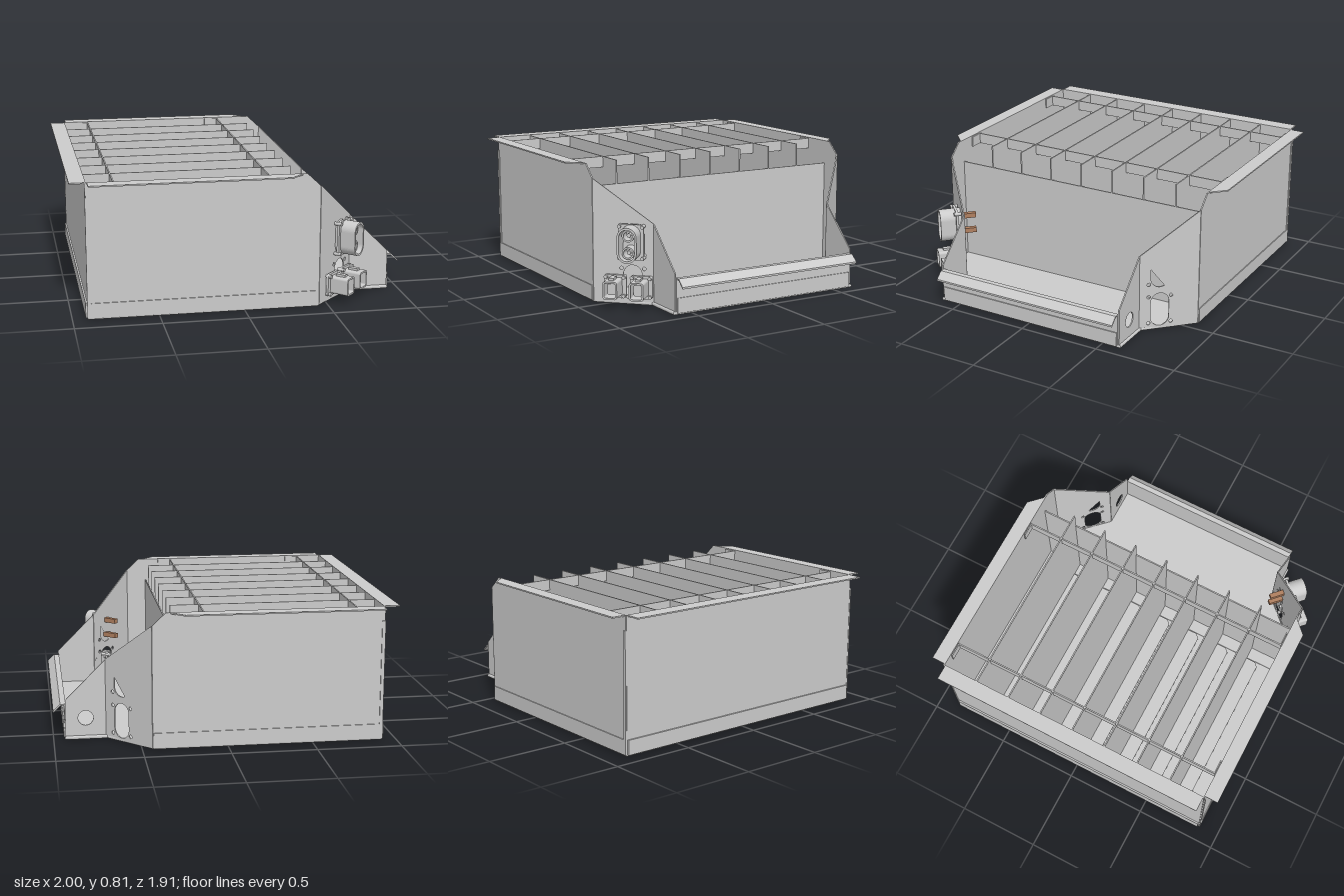
import * as THREE from 'three';

const T = 0.008; // sheet thickness
const metal = new THREE.MeshStandardMaterial({ color: 0xcccccc, side: THREE.DoubleSide });
const copper = new THREE.MeshStandardMaterial({ color: 0xb08060 });

function mesh(name, geo, parent, x = 0, y = 0, z = 0, mat = metal) {
  const m = new THREE.Mesh(geo, mat);
  m.name = name;
  m.position.set(x, y, z);
  parent.add(m);
  return m;
}

const poly = (pts) => new THREE.Shape(pts.map(([x, y]) => new THREE.Vector2(x, y)));
const extrude = (shape, depth) =>
  new THREE.ExtrudeGeometry(shape, { depth, bevelEnabled: false, curveSegments: 12 });

function box(name, parent, x0, x1, y0, y1, z0, z1) {
  return mesh(name, new THREE.BoxGeometry(x1 - x0, y1 - y0, z1 - z0), parent,
    (x0 + x1) / 2, (y0 + y1) / 2, (z0 + z1) / 2);
}

// vertical sheet standing on the plan line that starts at (x, z) with heading angle
function panel(name, parent, pts, x, z, angle, holes = []) {
  const shape = poly(pts);
  shape.holes.push(...holes);
  const m = mesh(name, extrude(shape, T).translate(0, 0, -T / 2), parent, x, 0, z);
  m.rotation.y = angle;
  return m;
}

// flat horizontal sheet from a plan outline of (x, z) points
function plate(name, parent, pts, y, t = T) {
  const geo = extrude(poly(pts.map(([x, z]) => [x, -z])), t).rotateX(-Math.PI / 2);
  return mesh(name, geo, parent, 0, y, 0);
}

function circle(x, y, r) {
  return new THREE.Path().absarc(x, y, r, 0, Math.PI * 2, true);
}

// upright slot with rounded ends; works as outline or hole
function obround(C, x, y, w, h) {
  const r = w / 2, s = h / 2 - r;
  const p = new C();
  p.moveTo(x + r, y - s);
  p.lineTo(x + r, y + s);
  p.absarc(x, y + s, r, 0, Math.PI, false);
  p.lineTo(x - r, y - s);
  p.absarc(x, y - s, r, Math.PI, Math.PI * 2, false);
  return p;
}

// tube-like shell with a slot-shaped section
function slotRing(w, h, wall, depth) {
  const s = obround(THREE.Shape, 0, 0, w, h);
  s.holes.push(obround(THREE.Path, 0, 0, w - wall * 2, h - wall * 2));
  return extrude(s, depth);
}

function roundedRect(w, h, r) {
  const s = new THREE.Shape(), a = w / 2 - r, b = h / 2 - r;
  s.absarc(a, b, r, 0, Math.PI / 2, false);
  s.absarc(-a, b, r, Math.PI / 2, Math.PI, false);
  s.absarc(-a, -b, r, Math.PI, Math.PI * 1.5, false);
  s.absarc(a, -b, r, Math.PI * 1.5, Math.PI * 2, false);
  return s;
}

function screws(parent, dx, dy, z) {
  for (const sx of [-1, 1]) for (const sy of [-1, 1]) {
    mesh('screw', new THREE.CylinderGeometry(0.011, 0.011, 0.045, 10).rotateX(Math.PI / 2),
      parent, sx * dx, sy * dy, z);
  }
}

// tall two-pole connector, built facing +z
function powerConnector() {
  const g = new THREE.Group();
  g.name = 'powerConnector';
  const flange = roundedRect(0.15, 0.21, 0.03);
  flange.holes.push(obround(THREE.Path, 0, 0, 0.09, 0.18));
  mesh('connectorFlange', extrude(flange, 0.015), g, 0, 0, 0.02);
  mesh('connectorShell', slotRing(0.115, 0.205, 0.012, 0.13), g);
  mesh('connectorBack', extrude(obround(THREE.Shape, 0, 0, 0.1, 0.19), 0.03), g);
  screws(g, 0.068, 0.092, 0.025);
  for (const y of [-0.05, 0.05]) {
    const sleeve = new THREE.Shape().absarc(0, 0, 0.036, 0, Math.PI * 2, false);
    sleeve.holes.push(circle(0, 0, 0.026));
    mesh('contactSleeve', extrude(sleeve, 0.07), g, 0, y, 0.03);
    mesh('contactPin', new THREE.CylinderGeometry(0.012, 0.012, 0.06, 12).rotateX(Math.PI / 2), g, 0, y, 0.05);
    mesh('terminal', new THREE.BoxGeometry(0.03, 0.03, 0.1), g, 0, y, -0.05, copper);
  }
  return g;
}

// small square connector, built facing +z
function signalConnector() {
  const g = new THREE.Group();
  g.name = 'signalConnector';
  mesh('connectorFlange', extrude(roundedRect(0.135, 0.135, 0.02), 0.015), g, 0, 0, 0.005);
  const shell = roundedRect(0.085, 0.105, 0.015);
  shell.holes.push(roundedRect(0.066, 0.086, 0.01));
  mesh('connectorShell', extrude(shell, 0.115), g, 0, 0, 0.02);
  mesh('connectorCore', extrude(roundedRect(0.045, 0.065, 0.008), 0.08), g, 0, 0, 0.02);
  mesh('connectorKey', new THREE.BoxGeometry(0.03, 0.018, 0.06), g, 0, 0.057, 0.07);
  screws(g, 0.053, 0.055, 0.012);
  return g;
}

export function createModel() {
  const root = new THREE.Group();
  root.name = 'batteryTray';

  // floor with rounded underside edge
  const outline = [[-0.9, 0.86], [0.43, 0.86], [0.68, 0.61], [0.92, 0.61],
    [0.92, -0.61], [0.68, -0.61], [0.43, -0.86], [-0.9, -0.86]];
  const floorGeo = new THREE.ExtrudeGeometry(poly(outline.map(([x, z]) => [x, -z])),
    { depth: 0.004, bevelThickness: 0.01, bevelSize: 0.014, bevelSegments: 3 });
  mesh('floor', floorGeo.rotateX(-Math.PI / 2), root, 0, 0.01, 0);

  // side walls: long panel, angled panel with connector openings, short end panel
  const angle = Math.atan2(0.26, 0.25), len = Math.hypot(0.25, 0.26);
  for (const s of [1, -1]) {
    const side = new THREE.Group();
    side.name = s > 0 ? 'frontSide' : 'backSide';
    root.add(side);
    panel('longWall', side, [[0, 0.01], [1.35, 0.01], [1.35, 0.73], [1.27, 0.805], [0, 0.805]], -0.91, 0.87 * s, 0);
    const holes = [], u = 0.235;
    for (const y of [0.38, 0.13]) {
      holes.push(obround(THREE.Path, u, y, 0.11, 0.21));
      for (const dx of [-0.068, 0.068]) for (const dy of [-0.085, 0.085]) {
        holes.push(circle(u + dx, y + dy, 0.011));
      }
    }
    panel('angledWall', side, [[0, 0.01], [len, 0.01], [len, 0.48], [0, 0.73]], 0.44, 0.87 * s, angle * s, holes);
    panel('endWall', side, [[0, 0.01], [0.24, 0.01], [0.24, 0.24], [0, 0.48]], 0.69, 0.61 * s, 0,
      s < 0 ? [circle(0.12, 0.13, 0.045)] : []);
    // upturned floor rim and corner strip
    const rz = 0.876 * s;
    box('floorRim', side, -0.915, 0.435, 0.012, 0.1, rz - T / 2, rz + T / 2);
    box('cornerStrip', side, -0.915, -0.895, 0.1, 0.72, rz - T / 2, rz + T / 2);
    // outward top flange with clipped end
    const a = 0.867 * s, b = 0.953 * s;
    plate('topFlange', side, [[-0.9, a], [-0.9, b], [0.255, b], [0.34, a]], 0.797);
  }

  // left wall, its rim and flange
  box('leftWall', root, -0.914, -0.906, 0.01, 0.805, -0.87, 0.87);
  box('leftRim', root, -0.924, -0.914, 0.012, 0.1, -0.865, 0.865);
  box('leftFlange', root, -1, -0.906, 0.797, 0.805, -0.86, 0.865);

  // low right wall with a downward sloping lip
  const lip = poly([[0.926, 0.01], [0.934, 0.01], [0.934, 0.208], [0.955, 0.208],
    [1, 0.165], [1, 0.176], [0.958, 0.216], [0.926, 0.216]]);
  mesh('rightWall', extrude(lip, 1.21), root, 0, 0, -0.605);
  box('rightRim', root, 0.934, 0.94, 0.012, 0.1, -0.6, 0.6);

  // inner wall closing the cells, with its foot
  box('innerWall', root, 0.306, 0.314, 0.02, 0.66, -0.866, 0.866);
  box('innerWallFoot', root, 0.23, 0.31, 0.024, 0.03, -0.85, 0.83);

  // cell dividers with a folded foot
  for (let i = -3; i <= 3; i++) {
    const z = i * 0.2155, d = new THREE.Group();
    d.name = 'divider';
    root.add(d);
    box('dividerSheet', d, -0.905, 0.312, 0.024, 0.8, z - T / 2, z + T / 2);
    plate('dividerFoot', d, [[-0.9, z], [-0.8, z + 0.09], [0.2, z + 0.09], [0.225, z + 0.065], [0.225, z]], 0.03, 0.005);
  }

  // cross straps locking the dividers, with bent end tabs
  for (const x of [-0.75, 0.14]) {
    box('crossStrap', root, x - T / 2, x + T / 2, 0.735, 0.8, -0.862, 0.862);
    box('strapTab', root, x, x + 0.085, 0.735, 0.8, 0.855, 0.862);
    box('strapTab', root, x - 0.085, x, 0.735, 0.8, -0.862, -0.855);
  }

  // connectors on the front angled wall
  const sockets = new THREE.Group();
  sockets.name = 'connectors';
  sockets.position.set(0.44, 0, 0.87);
  sockets.rotation.y = angle;
  root.add(sockets);
  const power = powerConnector();
  power.position.set(0.235, 0.375, 0.005);
  sockets.add(power);
  for (const u of [0.135, 0.29]) {
    const c = signalConnector();
    c.position.set(u, 0.11, 0.005);
    sockets.add(c);
  }
  return root;
}
